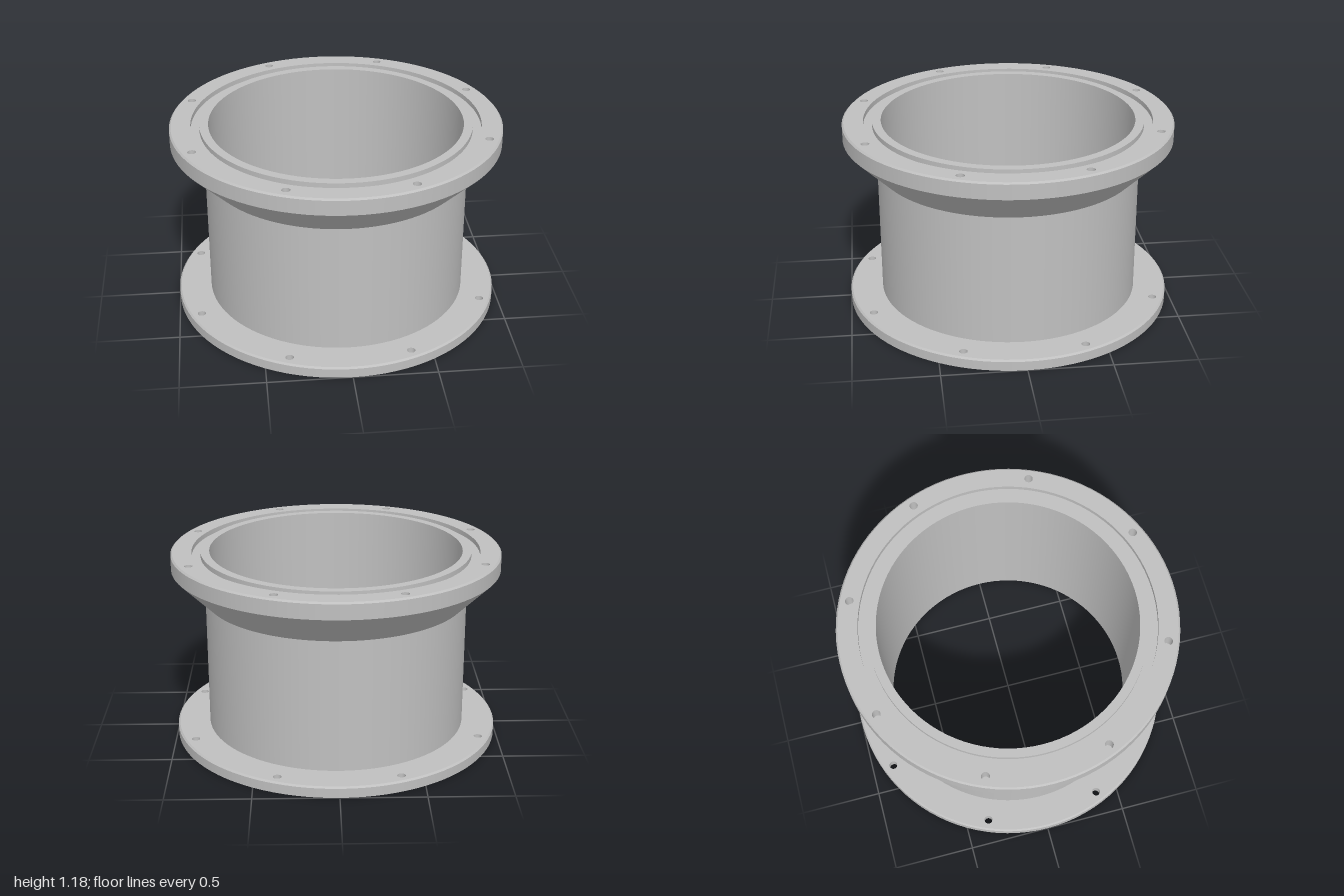
import * as THREE from 'three';
import { mergeGeometries } from 'three/addons/utils/BufferGeometryUtils.js';

const SEG = 96;
const BORE = 0.767, WALL = 0.8, RIM = 1, CHAMFER = 0.01;
const LOW = 0.068, NECK = 0.876, FLARE = 1.075, TOP = 1.176;
const GROOVE_IN = 0.82, GROOVE_OUT = 0.873, GROOVE_Y = TOP - 0.03;
const BOLTS = 8, BOLT_CIRCLE = 0.935, BOLT_R = 0.025;

const boltCentres = Array.from({ length: BOLTS }, (_, i) => {
  const a = ((i + 0.5) / BOLTS) * Math.PI * 2;
  return [Math.cos(a) * BOLT_CIRCLE, Math.sin(a) * BOLT_CIRCLE];
});

function circle(r, n, cx = 0, cy = 0) {
  return Array.from({ length: n }, (_, i) => {
    const a = (i / n) * Math.PI * 2;
    return new THREE.Vector2(cx + r * Math.cos(a), cy + r * Math.sin(a));
  });
}

// Revolve each profile segment on its own so the edges between them stay sharp
function turned(profile, n = SEG) {
  const bands = [];
  for (let i = 0; i + 1 < profile.length; i++) {
    const ends = [profile[i], profile[i + 1]].map(([r, y]) => new THREE.Vector2(r, y));
    bands.push(new THREE.LatheGeometry(ends, n));
  }
  return mergeGeometries(bands);
}

// Flat ring drilled with the bolt circle, facing up or down
function drilledRing(inner, outer, y, up) {
  const shape = new THREE.Shape(circle(outer, SEG));
  shape.holes.push(new THREE.Path(circle(inner, SEG)));
  for (const [x, z] of boltCentres) shape.holes.push(new THREE.Path(circle(BOLT_R, 24, x, z)));
  return new THREE.ShapeGeometry(shape).rotateX(up ? -Math.PI / 2 : Math.PI / 2).translate(0, y, 0);
}

// Walls of the bolt holes, with a floor when they are blind
function boltHoles(top, bottom, blind) {
  const profile = [[BOLT_R, top], [BOLT_R, bottom]];
  const holes = boltCentres.map(([x, z]) => turned(profile, 24).translate(x, 0, z));
  if (blind) {
    for (const [x, z] of boltCentres) {
      holes.push(new THREE.CircleGeometry(BOLT_R, 24).rotateX(-Math.PI / 2).translate(x, bottom, z));
    }
  }
  return mergeGeometries(holes);
}

export function createModel() {
  const model = new THREE.Group();
  model.name = 'flangedSpool';
  const steel = new THREE.MeshStandardMaterial({ color: 0xc0c0c0 });
  steel.name = 'light grey steel';

  function add(parent, name, geometry) {
    const mesh = new THREE.Mesh(geometry, steel);
    mesh.name = name;
    parent.add(mesh);
  }

  // Barrel
  add(model, 'barrelOuterWall', turned([[WALL, LOW], [WALL, NECK]]));
  add(model, 'barrelBore', turned([[BORE, TOP], [BORE, 0]]));

  // Lower flange with through holes
  const lower = new THREE.Group();
  lower.name = 'lowerFlange';
  add(lower, 'lowerRim', turned([[RIM, 0], [RIM, LOW - CHAMFER], [RIM - CHAMFER, LOW]]));
  add(lower, 'lowerTopFace', drilledRing(WALL, RIM - CHAMFER, LOW, true));
  add(lower, 'lowerBottomFace', drilledRing(BORE, RIM, 0, false));
  add(lower, 'lowerBoltHoles', boltHoles(LOW, 0, false));
  model.add(lower);

  // Flared upper flange with a seal groove and blind holes
  const upper = new THREE.Group();
  upper.name = 'upperFlange';
  add(upper, 'flareAndRim', turned([
    [WALL, NECK], [RIM, FLARE], [RIM, TOP - CHAMFER], [RIM - CHAMFER, TOP],
  ]));
  add(upper, 'upperTopFace', drilledRing(GROOVE_OUT, RIM - CHAMFER, TOP, true));
  add(upper, 'sealGrooveAndLip', turned([
    [GROOVE_OUT, TOP], [GROOVE_OUT, GROOVE_Y], [GROOVE_IN, GROOVE_Y], [GROOVE_IN, TOP], [BORE, TOP],
  ]));
  add(upper, 'upperBoltHoles', boltHoles(TOP, FLARE, true));
  model.add(upper);

  return model;
}
